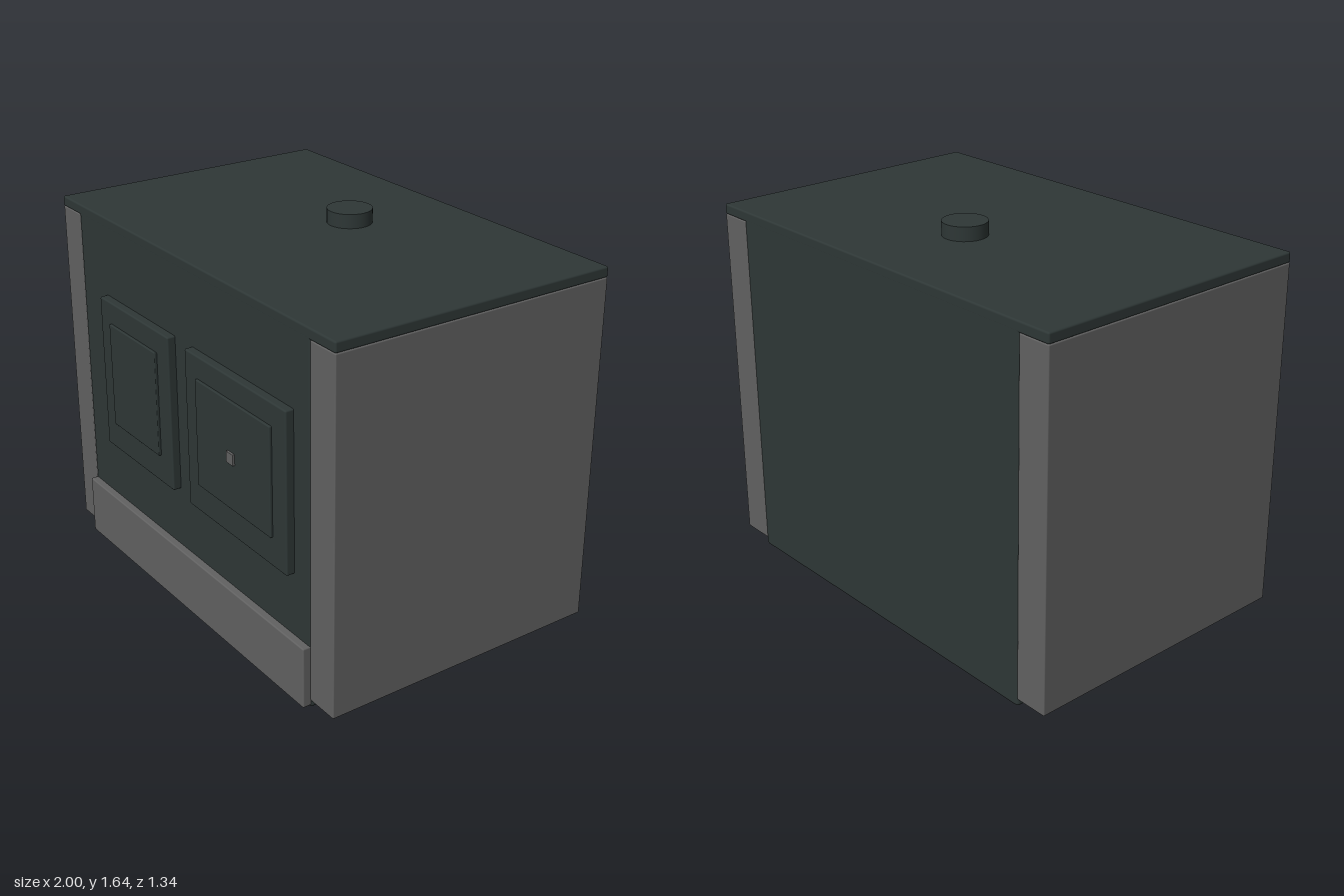
import * as THREE from 'three';
import { RoundedBoxGeometry } from 'three/addons/geometries/RoundedBoxGeometry.js';

export function createModel() {
  const model = new THREE.Group();
  model.name = 'stove';

  const darkEnamel = new THREE.MeshStandardMaterial({ color: 0x2e3736 });
  darkEnamel.name = 'darkEnamel';
  const greyMetal = new THREE.MeshStandardMaterial({ color: 0x616161 });
  greyMetal.name = 'greyMetal';

  // Softly bevelled box given by its extents on each axis
  function box(name, material, [x0, x1], [y0, y1], [z0, z1], bevel) {
    const geometry = new RoundedBoxGeometry(x1 - x0, y1 - y0, z1 - z0, 2, bevel);
    const mesh = new THREE.Mesh(geometry, material);
    mesh.position.set((x0 + x1) / 2, (y0 + y1) / 2, (z0 + z1) / 2);
    mesh.name = name;
    model.add(mesh);
  }

  const back = -0.67, front = 0.615;

  // Main body, top plate and side panels
  box('body', darkEnamel, [-0.855, 0.855], [0, 1.56], [back, front], 0.015);
  box('topPlate', darkEnamel, [-1, 1], [1.54, 1.585], [back, front], 0.008);
  box('leftSidePanel', greyMetal, [0.85, 1], [0.035, 1.54], [back + 0.001, front - 0.001], 0.005);
  box('rightSidePanel', greyMetal, [-1, -0.85], [0.035, 1.54], [back + 0.001, front - 0.001], 0.005);

  // Plinth across the bottom of the front
  box('plinth', greyMetal, [-0.85, 0.85], [0.01, 0.28], [front - 0.02, 0.647], 0.006);

  // Two doors, each with a raised inner panel
  for (const [name, outer, inner] of [
    ['rightDoor', [-0.64, -0.08], [-0.55, -0.17]],
    ['leftDoor', [0.05, 0.75], [0.14, 0.66]],
  ]) {
    box(name, darkEnamel, outer, [0.553, 1.24], [front - 0.02, 0.651], 0.007);
    box(name + 'Panel', darkEnamel, inner, [0.68, 1.145], [0.635, 0.662], 0.004);
  }

  // Small square latch on the larger door
  box('doorLatch', greyMetal, [0.372, 0.42], [0.885, 0.933], [0.65, 0.672], 0.002);

  // Flue collar on the top
  const flue = new THREE.Mesh(new THREE.CylinderGeometry(0.095, 0.095, 0.07, 32), darkEnamel);
  flue.position.set(0, 1.61, -0.185);
  flue.name = 'flueCollar';
  model.add(flue);

  return model;
}
